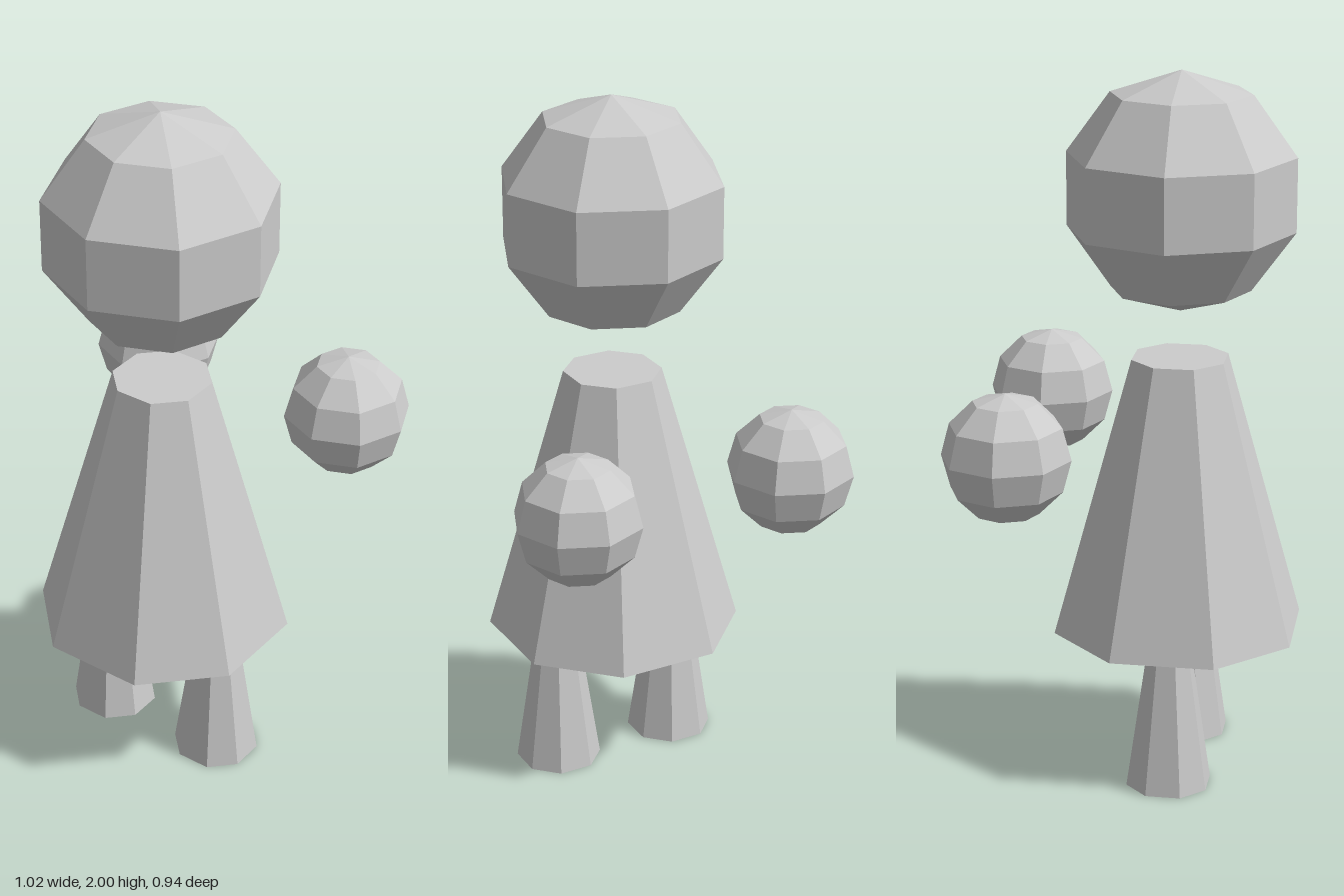
import * as THREE from 'three';

const material = new THREE.MeshStandardMaterial({ color: 0xcccccc, flatShading: true });

function addPart(group, name, geometry, x, y, z) {
  const mesh = new THREE.Mesh(geometry, material);
  mesh.name = name;
  mesh.position.set(x, y, z);
  group.add(mesh);
}

// Eight-sided tapered block, flat sides facing the axes; half-widths at top and bottom.
// Its axis-facing sides are slightly wider than its corner sides.
function taperedOctagon(top, bottom, height) {
  const k = 1 / Math.cos(Math.PI / 8);
  const geometry = new THREE.CylinderGeometry(top * k, bottom * k, height, 8, 1, false, Math.PI / 8);
  const pos = geometry.attributes.position;
  for (let i = 0; i < pos.count; i++) {
    const half = pos.getY(i) > 0 ? top : bottom;
    const widen = (v) => (Math.abs(v) < half * 0.6 ? v * 1.047 : v);
    pos.setX(i, widen(pos.getX(i)));
    pos.setZ(i, widen(pos.getZ(i)));
  }
  return geometry;
}

export function createModel() {
  const model = new THREE.Group();
  model.name = 'figure';
  const bodyZ = 0.135;

  // Floating head above the robe-like body
  addPart(model, 'head', new THREE.SphereGeometry(0.333, 8, 5), 0, 1.667, bodyZ);
  addPart(model, 'body', taperedOctagon(0.128, 0.334, 0.79), 0, 0.807, bodyZ);

  // Mirrored legs and floating hands
  for (const [side, s] of [['left', 1], ['right', -1]]) {
    addPart(model, side + 'Leg', taperedOctagon(0.062, 0.113, 0.375), s * 0.187, 0.1875, bodyZ);
    addPart(model, side + 'Hand', new THREE.SphereGeometry(0.18, 8, 6), s * 0.33, 0.993, -0.291);
  }
  return model;
}
